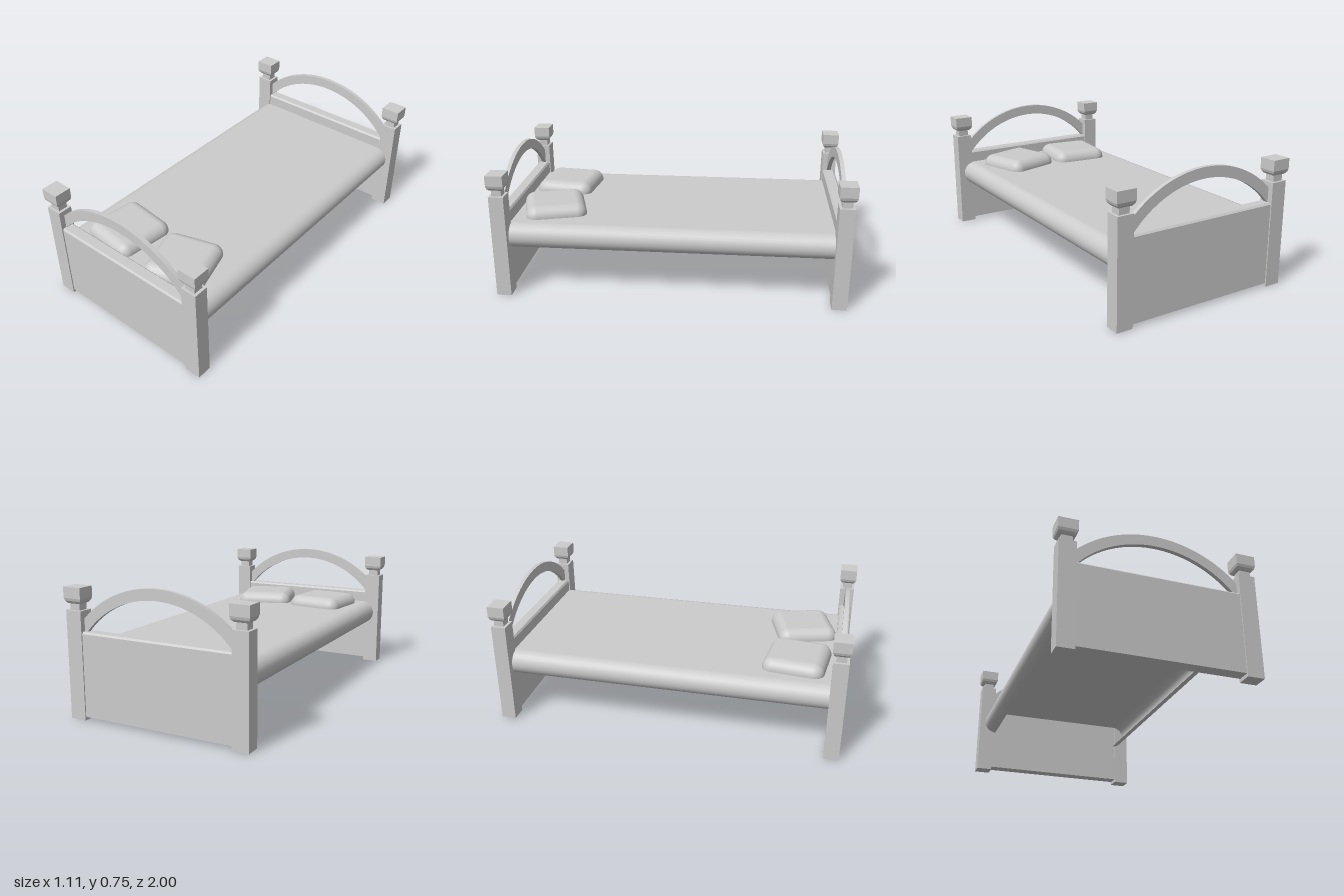
import * as THREE from 'three';
import { toCreasedNormals } from 'three/addons/utils/BufferGeometryUtils.js';
import { RoundedBoxGeometry } from 'three/addons/geometries/RoundedBoxGeometry.js';

const smooth = new THREE.MeshStandardMaterial({ color: 0xcccccc });
const flat = new THREE.MeshStandardMaterial({ color: 0xcccccc, flatShading: true });
const sheet = new THREE.MeshStandardMaterial({ color: 0xcccccc, side: THREE.DoubleSide });

function mesh(name, geometry, material) {
  const m = new THREE.Mesh(geometry, material);
  m.name = name;
  return m;
}

// Square post with a neck and a flared cap: [half width, height] swept in four sides
function postGeometry() {
  const profile = [
    [0, 0], [0.0475, 0], [0.0475, 0.6], [0.031, 0.6], [0.031, 0.635],
    [0.04, 0.638], [0.05, 0.65], [0.055, 0.665], [0.055, 0.725], [0, 0.725],
  ].map(([r, y]) => new THREE.Vector2(r * Math.SQRT2, y));
  return new THREE.LatheGeometry(profile, 4, Math.PI / 4).scale(1, 1, 0.89);
}

// Panel with a narrow bevelled top edge, extruded across the bed
function panelGeometry() {
  const shape = new THREE.Shape([
    [-0.036, 0.02], [0.036, 0.02], [0.036, 0.478], [0.027, 0.488], [-0.027, 0.488], [-0.036, 0.478],
  ].map(([x, y]) => new THREE.Vector2(x, y)));
  return new THREE.ExtrudeGeometry(shape, { depth: 0.92, bevelEnabled: false })
    .translate(0, 0, -0.46).rotateY(Math.PI / 2);
}

// Arched rail between the posts
function archGeometry() {
  const outer = 0.635, inner = 0.575, reach = 0.46, cy = 0.115;
  const a = Math.acos(reach / outer), b = Math.acos(reach / inner);
  const shape = new THREE.Shape();
  shape.absarc(0, cy, outer, a, Math.PI - a, false);
  shape.absarc(0, cy, inner, Math.PI - b, b, true);
  const g = new THREE.ExtrudeGeometry(shape, { depth: 0.024, bevelEnabled: false, curveSegments: 32 });
  return toCreasedNormals(g.translate(0, 0, -0.012), 0.5);
}

// Bed cover: an open sheet, flat on top and rolled under along both sides
function coverGeometry() {
  const n = 14, r = 0.0735, cx = 0.437, cy = 0.3415;
  const g = new THREE.PlaneGeometry(1, 1, 2 * n + 1, 1);
  const p = g.attributes.position;
  for (let i = 0; i < p.count; i++) {
    const col = i % (2 * n + 2);
    const left = col <= n;
    const t = left ? 1.5 - col / n : 0.5 - (col - n - 1) / n;
    const angle = t * Math.PI;
    p.setXYZ(i, (left ? -cx : cx) + r * Math.cos(angle), cy + r * Math.sin(angle), -p.getY(i) * 1.83);
  }
  g.computeVertexNormals();
  return g;
}

// Soft square cushion, cut flat underneath
function pillowGeometry() {
  const g = new RoundedBoxGeometry(0.35, 0.14, 0.35, 6, 0.06);
  const p = g.attributes.position;
  for (let i = 0; i < p.count; i++) p.setY(i, Math.max(p.getY(i), -0.003));
  return g;
}

export function createModel() {
  const bed = new THREE.Group();
  bed.name = 'bed';

  // Matching boards at the head and the foot
  const post = postGeometry(), panel = panelGeometry(), arch = archGeometry();
  for (const [name, z] of [['headboard', 0.952], ['footboard', -0.952]]) {
    const board = new THREE.Group();
    board.name = name;
    board.position.z = z;
    for (const [side, x] of [['left', 0.4975], ['right', -0.4975]]) {
      const m = mesh(side + 'Post', post, flat);
      m.position.x = x;
      board.add(m);
    }
    const rail = mesh('archRail', arch, smooth);
    rail.position.x = -0.006;
    board.add(mesh('panel', panel, flat), rail);
    bed.add(board);
  }

  bed.add(mesh('bedCover', coverGeometry(), sheet));

  // Two pillows lying slightly askew
  const pillow = pillowGeometry();
  for (const [name, x, turn] of [['rightPillow', -0.22, -0.11], ['leftPillow', 0.2, 0.29]]) {
    const m = mesh(name, pillow, smooth);
    m.position.set(x, 0.41, 0.71);
    m.rotation.y = turn;
    bed.add(m);
  }
  return bed;
}
